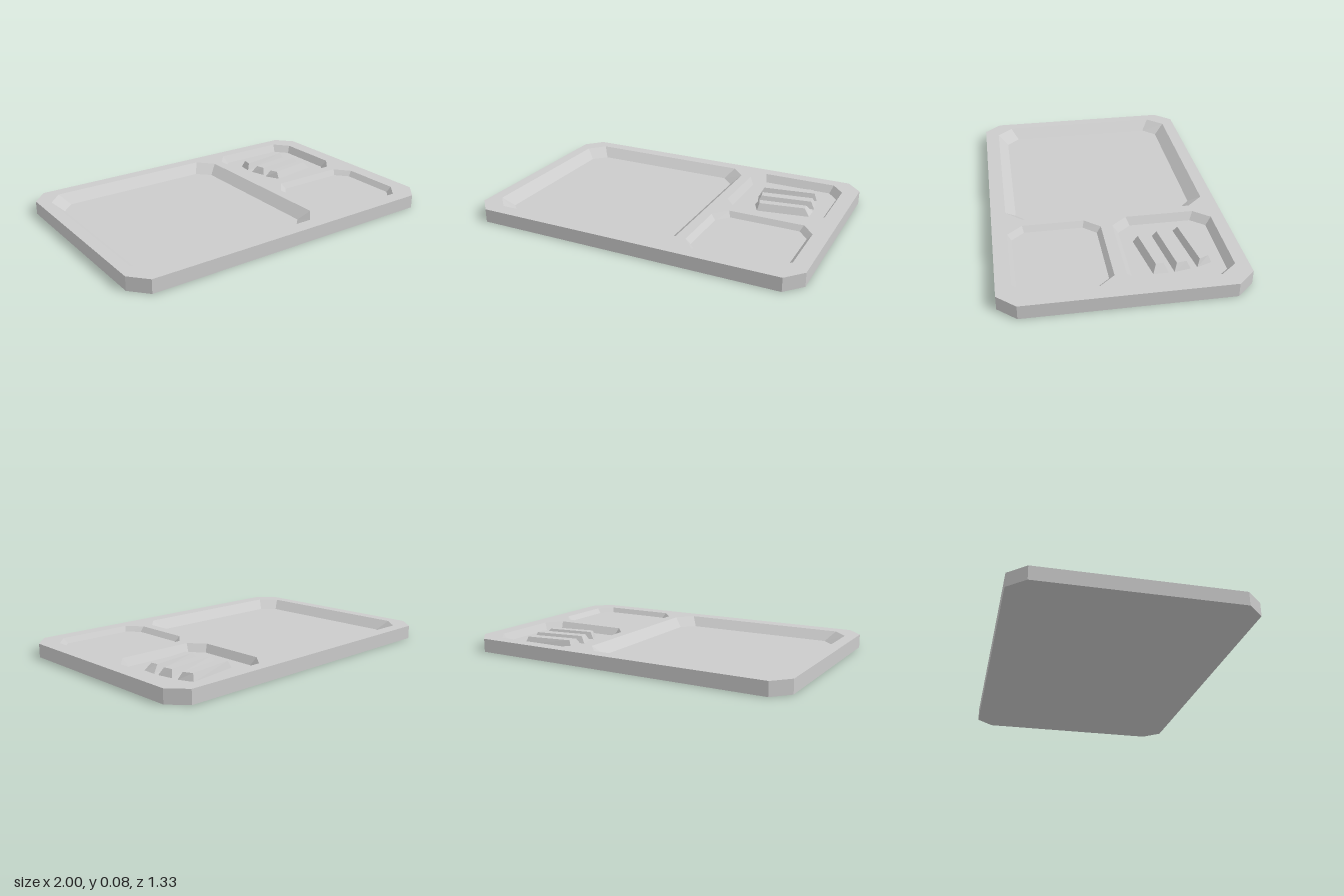
import * as THREE from 'three';
import { mergeGeometries } from 'three/addons/utils/BufferGeometryUtils.js';

const HEIGHT = 0.08;
const material = new THREE.MeshStandardMaterial({ color: 0xcccccc, flatShading: true });

// Rectangle with cut corners as [x, z] points, counter-clockwise seen from above
function octagon(x0, x1, z0, z1, cx, cz) {
  return [
    [x0 + cx, z1], [x1 - cx, z1], [x1, z1 - cz], [x1, z0 + cz],
    [x1 - cx, z0], [x0 + cx, z0], [x0, z0 + cz], [x0, z1 - cz],
  ];
}

// Sloped or upright walls running from ring a at height ya to ring b at height yb
function walls(a, ya, b, yb) {
  const pos = [];
  a.forEach((p, i) => {
    const j = (i + 1) % a.length;
    const [A, B] = [[p[0], ya, p[1]], [a[j][0], ya, a[j][1]]];
    const [C, D] = [[b[j][0], yb, b[j][1]], [b[i][0], yb, b[i][1]]];
    pos.push(...A, ...B, ...C, ...A, ...C, ...D);
  });
  const g = new THREE.BufferGeometry();
  g.setAttribute('position', new THREE.Float32BufferAttribute(pos, 3));
  g.computeVertexNormals();
  return g;
}

// Flat face at height y, facing up (dir = 1) or down (dir = -1)
function cap(ring, y, holes = [], dir = 1) {
  const points = (r) => r.map(([x, z]) => new THREE.Vector2(x, -z * dir));
  const shape = new THREE.Shape(points(ring));
  holes.forEach((h) => shape.holes.push(new THREE.Path(points(h))));
  const g = new THREE.ShapeGeometry(shape).toNonIndexed();
  g.deleteAttribute('uv');
  return g.rotateX(-dir * Math.PI / 2).translate(0, y, 0);
}

function part(name, geometries) {
  const mesh = new THREE.Mesh(mergeGeometries(geometries), material);
  mesh.name = name;
  return mesh;
}

export function createModel() {
  const group = new THREE.Group();
  group.name = 'compartmentTray';

  // Compartments: rim ring, floor ring, floor height
  const compartments = [
    ['largeCompartment', octagon(-0.93, 0.245, -0.59, 0.58, 0.085, 0.095),
      octagon(-0.87, 0.187, -0.527, 0.52, 0.075, 0.077), 0.025],
    ['ribbedCompartment', octagon(0.307, 0.907, -0.59, -0.013, 0.075, 0.09),
      octagon(0.334, 0.88, -0.556, -0.045, 0.064, 0.078), 0.036],
    ['smallCompartment', octagon(0.307, 0.907, 0.053, 0.58, 0.075, 0.087),
      octagon(0.334, 0.88, 0.078, 0.559, 0.064, 0.073), 0.05],
  ];

  // Tray body: outer sides, underside and the pierced top
  const outline = octagon(-1, 1, -0.665, 0.665, 0.09, 0.1);
  group.add(part('trayBody', [
    walls(outline, 0, outline, HEIGHT),
    cap(outline, 0, [], -1),
    cap(outline, HEIGHT, compartments.map((c) => c[1])),
  ]));

  // Sunken compartments
  for (const [name, rim, floor, y] of compartments) {
    group.add(part(name, [walls(rim, HEIGHT, floor, y), cap(floor, y)]));
  }

  // Slanted raised ribs: base ring, top ring
  const ribs = [
    [[[0.425, -0.355], [0.778, -0.404], [0.745, -0.49], [0.436, -0.441]],
      [[0.447, -0.375], [0.757, -0.42], [0.733, -0.472], [0.455, -0.43]]],
    [[[0.457, -0.227], [0.799, -0.275], [0.783, -0.366], [0.43, -0.318]],
      [[0.473, -0.249], [0.773, -0.291], [0.765, -0.346], [0.461, -0.302]]],
    [[[0.495, -0.11], [0.8, -0.16], [0.8, -0.243], [0.452, -0.195]],
      [[0.5, -0.136], [0.767, -0.179], [0.762, -0.222], [0.482, -0.181]]],
  ];
  ribs.forEach(([base, top], i) => {
    group.add(part(`rib${i + 1}`, [walls(base, 0.036, top, 0.076), cap(top, 0.076)]));
  });

  return group;
}
